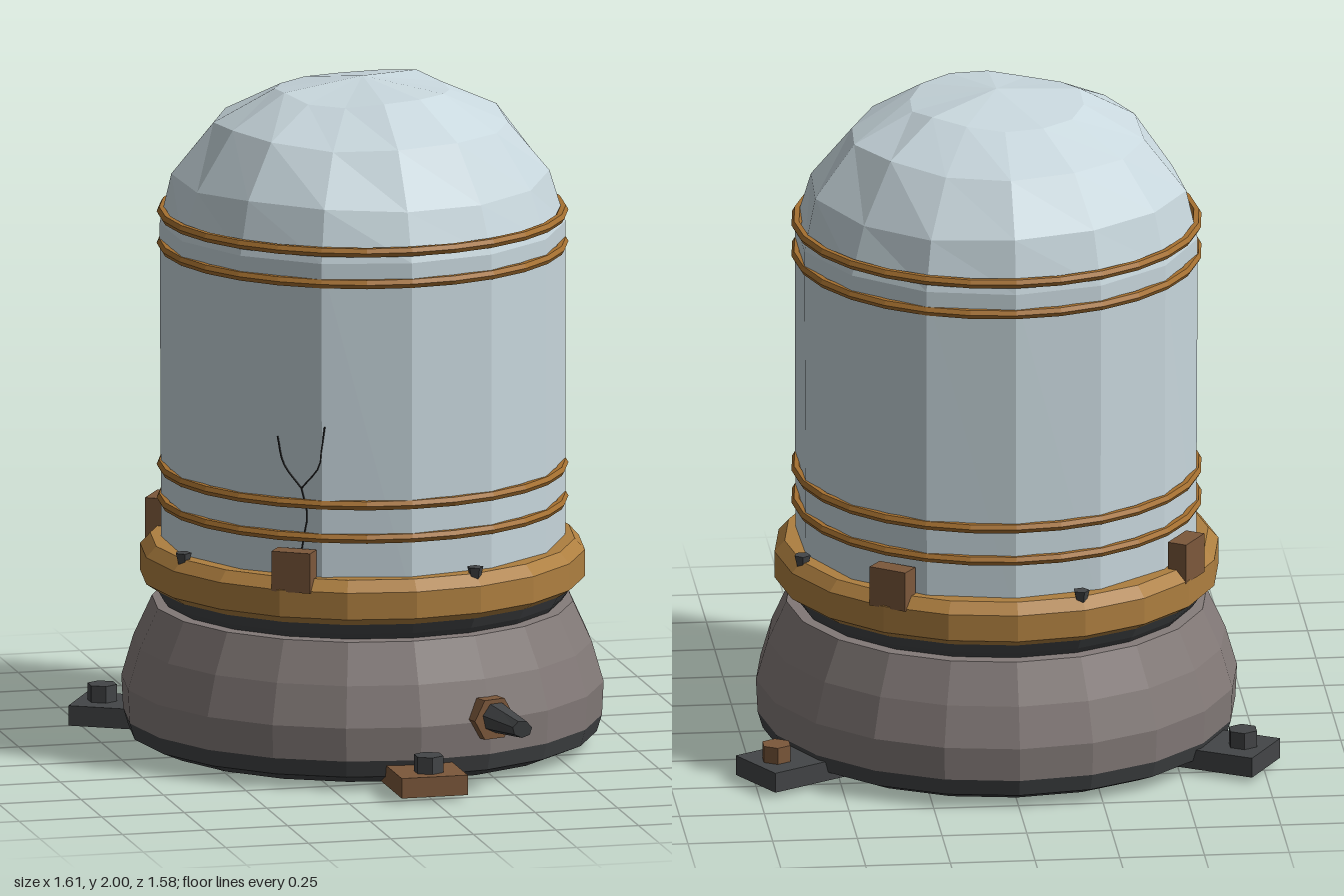
import * as THREE from 'three';

const CZ = -0.085; // z of the vessel's axis
const mat = (name, color, double) => {
  const m = new THREE.MeshStandardMaterial({ color, flatShading: true });
  m.name = name;
  if (double) m.side = THREE.DoubleSide;
  return m;
};

export function createModel() {
  const glass = mat('paleGlass', 0xc8d7dd, true);
  const stone = mat('greyCasing', 0x837a78);
  const brass = mat('agedBrass', 0xae7f40);
  const wire = mat('darkBrass', 0xa57030);
  const rust = mat('rust', 0x7c583b);
  const iron = mat('darkIron', 0x434547);
  const black = mat('black', 0x252526);

  const root = new THREE.Group();
  const body = new THREE.Group();
  body.name = 'vessel';
  body.position.z = CZ;
  root.add(body);

  const add = (parent, name, geo, material, x = 0, y = 0, z = 0) => {
    const m = new THREE.Mesh(geo, material);
    m.name = name;
    m.position.set(x, y, z);
    parent.add(m);
    return m;
  };
  const lathe = (pts, sides) =>
    new THREE.LatheGeometry(pts.map(p => new THREE.Vector2(p[0], p[1])), sides);
  // group turned round the axis, with its own +z pointing outward
  const spoke = (name, degrees) => {
    const g = new THREE.Group();
    g.name = name;
    g.rotation.y = THREE.MathUtils.degToRad(degrees);
    body.add(g);
    return g;
  };

  // base, from the underside up to the collar
  add(body, 'underside', lathe([[0, 0], [0.625, 0.012]], 20), black);
  add(body, 'baseRim', lathe([[0.625, 0.012], [0.69, 0.04], [0.705, 0.09]], 20), iron);
  add(body, 'baseCasing', lathe([[0.705, 0.09], [0.71, 0.19], [0.675, 0.31], [0.62, 0.43], [0.56, 0.435]], 20), stone);
  add(body, 'neckSeal', lathe([[0.585, 0.43], [0.6, 0.45], [0.62, 0.485]], 20), iron);
  add(body, 'collar', lathe([[0.56, 0.48], [0.62, 0.482], [0.655, 0.505], [0.655, 0.585], [0.625, 0.618], [0.56, 0.618]], 20), brass);

  // slightly uneven hand-blown dome
  const dome = lathe([[0.592, 0.55], [0.594, 1.56], [0.552, 1.71], [0.435, 1.87], [0.26, 1.963], [0, 2]], 14);
  const p = dome.attributes.position;
  for (let i = 0; i < p.count; i++) {
    const x = p.getX(i), y = p.getY(i), z = p.getZ(i), r = Math.hypot(x, z);
    if (r < 0.01) continue;
    const a = Math.atan2(x, z);
    const k = 1 + (y > 1.6 ? 0.018 : 0.006) * Math.sin(3 * Math.sin(a) + 5 * Math.cos(a) + y * 7);
    const dy = y > 1.6 ? 0.01 * Math.sin(4 * Math.cos(a) + 2 * Math.sin(a) + y * 11) : 0;
    p.setXYZ(i, x * k, y + dy, z * k);
  }
  add(body, 'glassDome', dome, glass);

  // wire bands
  for (const y of [0.735, 0.835, 1.5, 1.595]) {
    const ring = new THREE.TorusGeometry(0.59, 0.015, 6, 28);
    ring.rotateX(Math.PI / 2);
    add(body, 'wireBand', ring, wire, 0, y, 0);
  }

  // clips and studs on the collar
  for (const a of [-33, 145, -122])
    add(spoke('collarClip', a), 'clip', new THREE.BoxGeometry(0.12, 0.12, 0.06), rust, 0, 0.64, 0.622);
  for (const a of [18, 108, 198, 288])
    add(spoke('collarStud', a), 'stud', new THREE.CylinderGeometry(0.025, 0.016, 0.035, 5), iron, 0, 0.62, 0.622);

  // feet with hexagonal bolts
  for (const [a, plate, bolt] of [[0, rust, iron], [120, iron, rust], [240, iron, iron]]) {
    const g = spoke('foot', a);
    add(g, 'footPlate', new THREE.BoxGeometry(0.2, 0.06, 0.29), plate, 0, 0.045, 0.725);
    add(g, 'footBolt', new THREE.CylinderGeometry(0.045, 0.045, 0.05, 6), bolt, 0, 0.1, 0.795);
  }

  // broken pipe stub
  const port = spoke('pipeStub', 18);
  const nut = new THREE.CylinderGeometry(0.068, 0.068, 0.05, 6);
  nut.rotateY(Math.PI / 6);
  nut.rotateX(Math.PI / 2);
  add(port, 'pipeNut', nut, rust, 0, 0.2, 0.705);
  const pipe = new THREE.CylinderGeometry(0.026, 0.05, 0.17, 7, 2);
  const q = pipe.attributes.position;
  for (let i = 0; i < q.count; i++) // ragged, drooping end
    if (q.getY(i) > 0.05) q.setY(i, q.getY(i) + 0.5 * q.getX(i));
  pipe.rotateX(Math.PI / 2 + 0.06);
  add(port, 'pipe', pipe, iron, 0.005, 0.2, 0.79);

  // crack running up the glass
  const onGlass = ([x, y]) => {
    const step = Math.PI / 7, apothem = 0.593 * Math.cos(step / 2);
    const mid = (Math.abs(x) < 0.257 ? 0.5 : 1.5) * step;
    return new THREE.Vector3(x, y, (apothem - Math.abs(x) * Math.sin(mid)) / Math.cos(mid) + 0.003);
  };
  const cracks = [
    [[-0.31, 0.69], [-0.3, 0.76], [-0.295, 0.8], [-0.31, 0.88]],
    [[-0.31, 0.88], [-0.355, 0.95], [-0.37, 1.03]],
    [[-0.31, 0.88], [-0.265, 0.95], [-0.26, 0.99], [-0.25, 1.07]],
  ];
  for (const c of cracks) {
    const path = new THREE.CatmullRomCurve3(c.map(onGlass));
    add(body, 'crack', new THREE.TubeGeometry(path, 8, 0.0025, 4), black);
  }
  return root;
}
